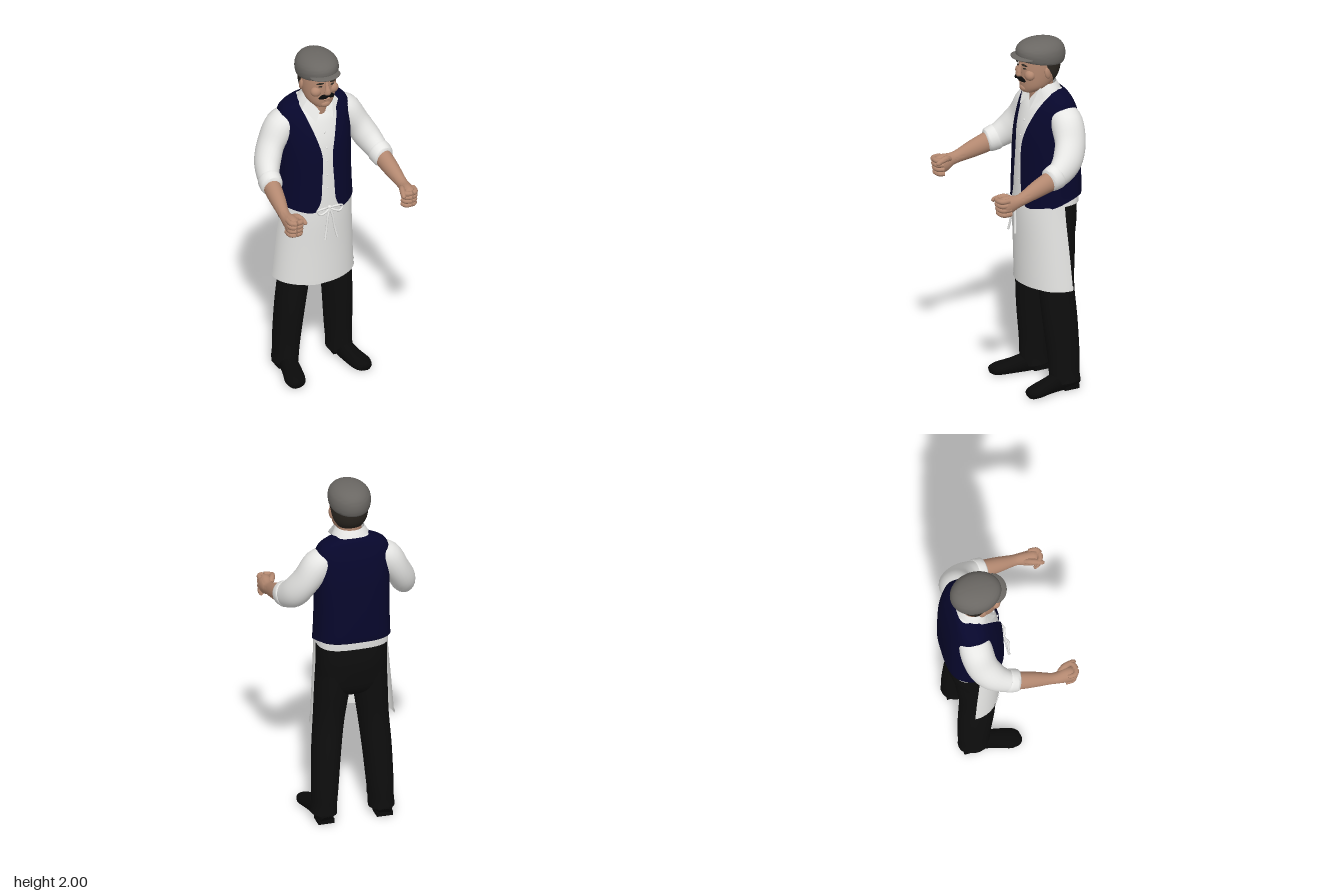
import * as THREE from 'three';
import { toCreasedNormals } from 'three/addons/utils/BufferGeometryUtils.js';

const paint = (name, color, side = THREE.FrontSide) => {
  const m = new THREE.MeshStandardMaterial({ color, side });
  m.name = name;
  return m;
};

// Catmull-Rom smoothing of a table of cross-sections
function smooth(rows, n = 4) {
  const out = [];
  const at = i => rows[Math.min(Math.max(i, 0), rows.length - 1)];
  for (let i = 0; i < rows.length - 1; i++) {
    for (let k = 0; k < n; k++) {
      const t = k / n;
      out.push(rows[i].map((p1, c) => {
        const p0 = at(i - 1)[c], p2 = at(i + 1)[c], p3 = at(i + 2)[c];
        return p1 + 0.5 * t * (p2 - p0 + t * (2 * p0 - 5 * p1 + 4 * p2 - p3 + t * (3 * (p1 - p2) + p3 - p0)));
      }));
    }
  }
  out.push(rows[rows.length - 1]);
  return out;
}

// Skin over a grid of points
function skin(rings) {
  const cols = rings[0].length, pos = [], idx = [];
  rings.forEach(r => r.forEach(p => pos.push(p.x, p.y, p.z)));
  for (let i = 0; i < rings.length - 1; i++) {
    for (let j = 0; j < cols - 1; j++) {
      const a = i * cols + j, d = a + cols;
      idx.push(a, a + 1, d + 1, a, d + 1, d);
    }
  }
  const g = new THREE.BufferGeometry();
  g.setAttribute('position', new THREE.Float32BufferAttribute(pos, 3));
  g.setIndex(idx);
  return toCreasedNormals(g, 1.0);
}

// Closed limb through rows of [x, y, z, radius across, radius other way]
function sweep(rows, sides = 24, floor = -1) {
  const rs = smooth(rows), c = rs.map(r => new THREE.Vector3(r[0], r[1], r[2]));
  const rings = rs.map((r, i) => {
    const T = c[Math.min(i + 1, c.length - 1)].clone().sub(c[Math.max(i - 1, 0)]).normalize();
    const S = new THREE.Vector3(1, 0, 0).addScaledVector(T, -T.x).normalize();
    const U = T.clone().cross(S);
    return Array.from({ length: sides + 1 }, (_, j) => {
      const a = (j % sides) / sides * Math.PI * 2;
      const p = c[i].clone().addScaledVector(S, r[3] * Math.cos(a)).addScaledVector(U, r[4] * Math.sin(a));
      p.y = Math.max(p.y, floor);
      return p;
    });
  });
  const cap = (p) => Array.from({ length: sides + 1 }, () => new THREE.Vector3(p.x, Math.max(p.y, floor), p.z));
  return skin([cap(c[0]), ...rings, cap(c[c.length - 1])]);
}

// Horizontal shell through rows of [y, half width, front z, back z, extra];
// range(row) gives start and end angle measured from the front
function shell(rows, { grow = 0, back = 1, sides = 48, range = () => [0, Math.PI * 2], bend = (x, y) => y } = {}) {
  return skin(smooth(rows).map((r, i) => {
    const [s, e] = range(r, i);
    const rx = Math.max(r[1] + grow, 0), mid = (r[2] + r[3]) / 2, rz = Math.max((r[2] - r[3]) / 2 + grow, 0);
    return Array.from({ length: sides + 1 }, (_, j) => {
      const a = s + (e - s) * j / sides, sn = Math.sin(a), cs = Math.cos(a), p = cs < 0 ? back : 1;
      const x = rx * Math.sign(sn) * Math.abs(sn) ** p, z = mid + rz * Math.sign(cs) * Math.abs(cs) ** p;
      return new THREE.Vector3(x, bend(x, r[0], z, i), z);
    });
  }));
}

export function createModel() {
  const root = new THREE.Group();
  root.name = 'shopkeeper';
  const white = paint('white cloth', 0xe9e9e7, THREE.DoubleSide);
  const navy = paint('navy cloth', 0x07072c, THREE.DoubleSide);
  const black = paint('black cloth', 0x0e0e0e);
  const leather = paint('black leather', 0x0a0a0a);
  const skinTone = paint('skin', 0xb38870);
  const grey = paint('grey wool', 0x6a6763);
  const brown = paint('dark hair', 0x2c2721, THREE.DoubleSide);
  const add = (name, geo, mat, parent = root) => {
    const m = new THREE.Mesh(geo, mat);
    m.name = name;
    parent.add(m);
    return m;
  };
  const blob = (name, mat, p, s, rot = [0, 0, 0]) => {
    const m = add(name, new THREE.SphereGeometry(1, 24, 16), mat);
    m.position.set(...p); m.scale.set(...s); m.rotation.set(...rot);
    return m;
  };
  const tube = (pts, r, n = 24) =>
    new THREE.TubeGeometry(new THREE.CatmullRomCurve3(pts.map(p => new THREE.Vector3(...p))), n, r, 8);

  // Torso: shirt inside, open waistcoat over it; last value is half the front opening
  const torso = [
    [1.07, .207, 0, -.33, .075], [1.13, .204, 0, -.335, .045], [1.25, .2, -.003, -.335, .036],
    [1.4, .2, -.01, -.332, .03], [1.5, .2, -.025, -.325, .05], [1.6, .2, -.06, -.305, .08],
    [1.65, .192, -.09, -.287, .095], [1.68, .165, -.108, -.275, .105],
    [1.7, .125, -.122, -.265, .105], [1.715, .085, -.135, -.25, .082]];
  add('shirt', shell(torso, { grow: -.008, back: .65 }), white);
  add('waistcoat', shell(torso, {
    grow: .004, back: .65, sides: 72,
    range: r => { const a = Math.asin(Math.min(r[4] / (r[1] + .004), 1)); return [a, Math.PI * 2 - a]; },
    // pointed fronts, hem rising to the back
    bend: (x, y, z, i) => i > 3 ? y : y + (1 - i / 4) * (z < -.1 ? Math.min(.05, (-.1 - z) * .3) : Math.abs(Math.abs(x) - .1) * .2 - .01),
  }), navy);
  for (let i = 0; i < 5; i++) blob('shirtButton', white, [0, 1.2 + i * .085, i < 4 ? -.012 - i * .003 : -.044], [.006, .006, .004]);

  // Trousers and shoes
  add('trouserSeat', shell([[.73, 0, -.17, -.17], [.75, .11, -.1, -.23], [.8, .185, -.065, -.285],
    [.9, .195, -.045, -.31], [1, .195, -.03, -.322], [1.14, .19, -.03, -.315]], { back: .8 }), black);
  for (const s of [1, -1]) {
    const side = s > 0 ? 'left' : 'right', mx = rows => rows.map(([x, ...r]) => [x * s, ...r]);
    add(side + 'TrouserLeg', sweep(mx([[.1, .92, -.175, .095, .12], [.106, .8, -.175, .096, .113],
      [.125, .6, -.172, .085, .102], [.143, .4, -.185, .08, .1], [.155, .2, -.2, .074, .092],
      [.16, .1, -.202, .07, .088], [.163, .045, -.205, .072, .086]])), black);
    add(side + 'Shoe', sweep(mx([[.163, .03, -.275, .035, .03], [.165, .045, -.245, .048, .045],
      [.168, .045, -.16, .05, .055], [.18, .036, -.08, .054, .043], [.2, .027, 0, .057, .033],
      [.213, .022, .035, .038, .026], [.216, .019, .049, .015, .016]]), 24, 0), leather);
    add(side + 'ShoeHeel', new THREE.BoxGeometry(.09, .025, .09).translate(s * .165, .0125, -.225), leather);

    // Arms
    add(side + 'Sleeve', sweep(mx([[.12, 1.62, -.2, .045, .075], [.19, 1.56, -.2, .083, .09],
      [.255, 1.465, -.185, .073, .088], [.298, 1.385, -.142, .072, .086],
      [.325, 1.335, -.08, .061, .074], [.335, 1.312, -.025, .054, .06]])), white);
    add(side + 'RolledCuff', sweep(mx([[.328, 1.328, -.065, .056, .066], [.33, 1.324, -.055, .064, .073],
      [.336, 1.311, -.012, .061, .067], [.338, 1.308, 0, .052, .058]])), white);
    add(side + 'Forearm', sweep(mx([[.333, 1.315, -.06, .043, .053], [.337, 1.3, 0, .047, .055],
      [.345, 1.275, .08, .042, .048], [.355, 1.245, .17, .031, .035], [.357, 1.236, .21, .032, .037],
      [.352, 1.228, .25, .039, .05], [.35, 1.222, .285, .041, .052], [.35, 1.22, .308, .03, .042]])), skinTone);
    for (let i = 0; i < 4; i++) {
      const y = 1.181 + i * .026, z = .298 + i * .004;
      add(side + 'Finger', sweep(mx([[.378, y, z - .045, .013, .014], [.375, y, z - .005, .014, .015],
        [.352, y, z + .008, .016, .014], [.318, y, z + .003, .014, .014], [.306, y, z - .022, .01, .012]]), 10), skinTone);
    }
    add(side + 'Thumb', sweep(mx([[.332, 1.25, .23, .014, .014], [.316, 1.262, .262, .017, .017],
      [.304, 1.258, .298, .015, .015], [.298, 1.25, .322, .012, .012], [.297, 1.248, .331, .005, .005]]), 12), skinTone);

    // Collar wing
    const wing = new THREE.BufferGeometry();
    const q = [[.07, 1.745, -.105], [.016, 1.665, -.07], [.052, 1.615, -.046], [.108, 1.695, -.1]];
    const order = s > 0 ? [0, 1, 2, 0, 2, 3] : [0, 2, 1, 0, 3, 2];
    wing.setAttribute('position', new THREE.Float32BufferAttribute(order.flatMap(i => [q[i][0] * s, q[i][1], q[i][2]]), 3));
    wing.computeVertexNormals();
    add(side + 'CollarWing', wing, white);

    // Face details
    blob(side + 'Ear', skinTone, [s * .098, 1.828, -.135], [.012, .034, .02], [.2, s * .3, 0]);
    blob(side + 'Eye', brown, [s * .036, 1.853, -.026], [.012, .004, .005], [0, s * .3, 0]);
    blob(side + 'Eyebrow', brown, [s * .038, 1.874, -.023], [.021, .005, .006], [0, s * .35, -s * .1]);
    blob(side + 'Cheek', skinTone, [s * .05, 1.815, -.05], [.032, .03, .028]);
    add(side + 'Moustache', sweep(mx([[-.002, 1.799, -.008, .008, .008], [.012, 1.797, -.006, .01, .012],
      [.03, 1.79, -.014, .01, .012], [.044, 1.779, -.026, .004, .005]]), 10), leather);

    // Bow loop and hanging ribbon
    add(side + 'BowLoop', tube([[0, 1.09, .012], [s * .04, 1.103, .03], [s * .075, 1.088, .02],
      [s * .06, 1.065, .025], [s * .025, 1.075, .025], [0, 1.09, .012]], .006, 32), white);
    add(side + 'BowRibbon', tube([[0, 1.09, .014], [s * .014, 1.04, .022], [s * .024, .97, .026],
      [s * .037, .905, .034]], .0065), white);
  }

  // Apron: wraps the front and sides, softly rippled at the hem
  add('apron', shell([[.59, .235, -.022, -.385], [.8, .222, -.013, -.365], [1, .209, -.002, -.345], [1.13, .204, -.001, -.335]], {
    grow: -.001, range: () => [-1.64, 1.64], bend: (x, y) => y + (y < .6 ? .004 * Math.sin(x * 22) : 0),
  }), white);
  add('apronHem', shell([[.592, .236, -.021, -.386], [.612, .235, -.02, -.385]], { grow: .002, range: () => [-1.64, 1.64] }), white);
  blob('bowKnot', white, [0, 1.09, .012], [.014, .013, .01]);

  // Neck and collar
  add('neck', sweep([[0, 1.58, -.15, .065, .06], [0, 1.66, -.148, .063, .062], [0, 1.78, -.15, .066, .066]]), skinTone);
  add('collar', shell([[1.675, .118, -.08, -.272, .075], [1.72, .095, -.083, -.25, .055], [1.752, .077, -.088, -.232, .045]], {
    range: r => { const a = Math.asin(r[4] / r[1]); return [a, Math.PI * 2 - a]; },
  }), white);

  // Head
  add('head', shell([[1.702, 0, -.07, -.07], [1.706, .035, -.04, -.12], [1.72, .058, -.03, -.16], [1.75, .081, -.025, -.2],
    [1.8, .093, -.022, -.235], [1.86, .097, -.023, -.247], [1.93, .095, -.03, -.248]]), skinTone);
  add('nose', sweep([[0, 1.875, -.026, .008, .008], [0, 1.845, -.017, .011, .014], [0, 1.82, -.008, .017, .015],
    [0, 1.807, -.012, .019, .013], [0, 1.802, -.018, .01, .008]], 14), skinTone);
  blob('lowerLip', skinTone, [0, 1.768, -.023], [.022, .006, .008]);
  blob('chin', skinTone, [0, 1.732, -.04], [.03, .022, .02]);
  add('hair', shell([[1.755, .079, -.03, -.21, 2.3], [1.785, .092, -.025, -.236, 2.0], [1.82, .1, -.024, -.25, 1.75],
    [1.86, .102, -.023, -.257, 1.5], [1.91, .102, -.023, -.257, 1.4]], {
    grow: .002, range: r => [r[4], Math.PI * 2 - r[4]],
  }), brown);

  // Flat cap, lower at the back
  add('cap', shell([[1.872, .098, -.03, -.25], [1.874, .108, -.014, -.272], [1.895, .114, -.006, -.284], [1.925, .115, -.004, -.287],
    [1.955, .106, -.014, -.278], [1.98, .081, -.042, -.25], [1.995, .042, -.09, -.2], [2, 0, -.145, -.145]], {
    bend: (x, y, z) => y + .16 * (z + .15) * (2 - y) / .13,
  }), grey);
  blob('capPeak', grey, [0, 1.909, -.045], [.088, .013, .072], [-.06, 0, 0]);
  return root;
}
